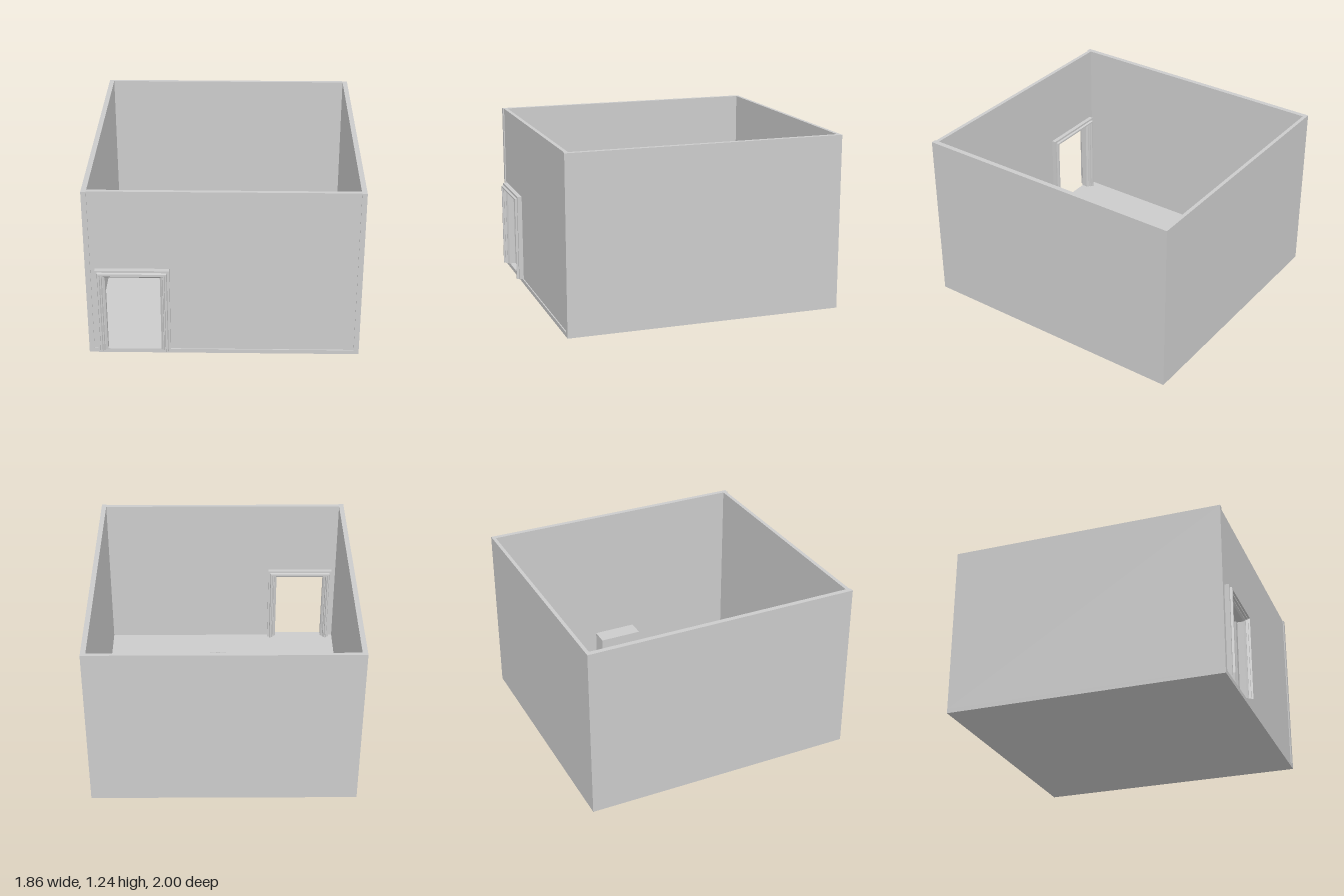
import * as THREE from 'three';
import { RoundedBoxGeometry } from 'three/addons/geometries/RoundedBoxGeometry.js';

const grey = new THREE.MeshStandardMaterial({ color: 0xcccccc });
const greyFlat = new THREE.MeshStandardMaterial({ color: 0xcccccc, flatShading: true });
const brown = new THREE.MeshStandardMaterial({ color: 0x5a3210, flatShading: true });
const darkBrown = new THREE.MeshStandardMaterial({ color: 0x2e1a08, flatShading: true });
const yellow = new THREE.MeshStandardMaterial({ color: 0xe6d98a, flatShading: true });

const FLOOR = 0.03, TOP = 1.24;
const DOOR = { left: -0.8, right: -0.43, top: 0.6, z: 0.94 };

function add(parent, name, geometry, material, x = 0, y = 0, z = 0) {
  const mesh = new THREE.Mesh(geometry, material);
  mesh.name = name;
  mesh.position.set(x, y, z);
  parent.add(mesh);
  return mesh;
}

// Box given by its two extreme corners
function span(parent, name, x0, x1, y0, y1, z0, z1, material = grey) {
  return add(parent, name, new THREE.BoxGeometry(x1 - x0, y1 - y0, z1 - z0), material,
    (x0 + x1) / 2, (y0 + y1) / 2, (z0 + z1) / 2);
}

// Square frustum with flat sides facing the axes
function frustum(parent, name, topSize, bottomSize, y0, y1, material) {
  const g = new THREE.CylinderGeometry(topSize / Math.SQRT2, bottomSize / Math.SQRT2, y1 - y0, 4);
  g.rotateY(Math.PI / 4);
  return add(parent, name, g, material, 0, (y0 + y1) / 2, 0);
}

// Front wall with the doorway cut out
function frontWallGeometry() {
  const m = 0.03;
  const s = new THREE.Shape([
    [-0.895, FLOOR], [DOOR.left - m, FLOOR], [DOOR.left - m, DOOR.top + m],
    [DOOR.right + m, DOOR.top + m], [DOOR.right + m, FLOOR],
    [0.895, FLOOR], [0.895, TOP], [-0.895, TOP],
  ].map(([x, y]) => new THREE.Vector2(x, y)));
  return new THREE.ExtrudeGeometry(s, { depth: 0.027, bevelEnabled: false });
}

// Moulding profile (margin outward, depth) swept with mitred corners around the doorway
function doorFrameGeometry() {
  const half = [[0, 0.022], [0.013, 0.034], [0.018, 0.034], [0.022, 0.048], [0.03, 0.048],
    [0.034, 0.06], [0.046, 0.06], [0.05, 0.045], [0.065, 0.045]];
  const profile = [...half, ...half.map(([m, z]) => [m, -z]).reverse()];
  const rings = profile.map(([m, z]) => [
    [DOOR.left - m, FLOOR, DOOR.z + z], [DOOR.left - m, DOOR.top + m, DOOR.z + z],
    [DOOR.right + m, DOOR.top + m, DOOR.z + z], [DOOR.right + m, FLOOR, DOOR.z + z],
  ]);
  const pos = [];
  rings.forEach((ring, i) => {
    const next = rings[(i + 1) % rings.length];
    for (let j = 0; j < 3; j++) {
      pos.push(...ring[j], ...ring[j + 1], ...next[j + 1], ...ring[j], ...next[j + 1], ...next[j]);
    }
  });
  const g = new THREE.BufferGeometry();
  g.setAttribute('position', new THREE.Float32BufferAttribute(pos, 3));
  g.computeVertexNormals();
  return g;
}

// Soft square cushion: a sphere pushed towards a rounded square, with gentle lumps
function cushionGeometry() {
  const g = new THREE.SphereGeometry(1, 40, 24);
  const p = g.attributes.position;
  const soft = (v, e) => Math.sign(v) * Math.abs(v) ** e;
  for (let i = 0; i < p.count; i++) {
    const x = p.getX(i), y = p.getY(i), z = p.getZ(i);
    const r = Math.hypot(x, z) || 1e-6;
    const spread = Math.min(1, r) ** 0.5;
    const cx = soft(x / r, 0.4) * spread, cz = soft(z / r, 0.4) * spread;
    const lump = 1 + 0.02 * Math.sin(cx * 7 + 1) * Math.cos(cz * 6);
    p.setXYZ(i, cx * 0.092 * lump, soft(y, 0.8) * 0.03 * lump, cz * 0.092 * lump);
  }
  g.computeVertexNormals();
  return g;
}

function buildRoom() {
  const room = new THREE.Group();
  room.name = 'room';
  span(room, 'floor', -0.93, 0.93, 0, FLOOR, -1, 0.96);
  for (const [name, s] of [['leftWall', 1], ['rightWall', -1]]) {
    add(room, name, new THREE.BoxGeometry(0.035, TOP - FLOOR, 1.96), grey,
      s * 0.9125, (TOP + FLOOR) / 2, -0.02);
  }
  span(room, 'backWall', -0.895, 0.895, FLOOR, TOP, -1, -0.975);
  add(room, 'frontWall', frontWallGeometry(), grey, 0, 0, 0.925);
  add(room, 'doorFrame', doorFrameGeometry(), grey);
  return room;
}

function buildTable() {
  const table = new THREE.Group();
  table.name = 'lowTable';
  table.position.set(0.035, FLOOR, 0.29);
  add(table, 'tableTop', new RoundedBoxGeometry(0.33, 0.018, 0.2, 2, 0.006), grey, 0, 0.111, 0);
  for (const sx of [-1, 1]) for (const sz of [-1, 1]) {
    add(table, 'tableLeg', new THREE.BoxGeometry(0.02, 0.104, 0.02), grey, sx * 0.145, 0.052, sz * 0.08);
  }
  return table;
}

function buildCabinet() {
  const cabinet = new THREE.Group();
  cabinet.name = 'cabinet';
  span(cabinet, 'cabinetBody', 0.765, 0.893, FLOOR, 0.23, -0.205, 0.115);
  span(cabinet, 'cabinetHandle', 0.756, 0.765, 0.14, 0.155, -0.045, 0.04);
  return cabinet;
}

// Square floor lamp: spreading foot, dark collar and glowing block
function buildLamp() {
  const lamp = new THREE.Group();
  lamp.name = 'lamp';
  lamp.position.set(0.755, FLOOR, -0.81);
  frustum(lamp, 'lampBase', 0.175, 0.175, 0, 0.02, brown);
  frustum(lamp, 'lampBody', 0.09, 0.175, 0.02, 0.26, brown);
  frustum(lamp, 'lampCollar', 0.08, 0.09, 0.26, 0.28, darkBrown);
  frustum(lamp, 'lampLight', 0.055, 0.06, 0.28, 0.32, yellow);
  return lamp;
}

// Open book lying on the floor, its halves tilted to a central fold
function buildBook(x, z, angle) {
  const book = new THREE.Group();
  book.name = 'openBook';
  book.position.set(x, FLOOR, z);
  book.rotation.y = angle;
  for (const s of [-1, 1]) {
    add(book, 'bookHalf', new THREE.BoxGeometry(0.042, 0.006, 0.07), greyFlat, s * 0.021, 0.006, 0)
      .rotation.z = s * 0.08;
  }
  return book;
}

export function createModel() {
  const model = new THREE.Group();
  model.name = 'furnishedRoom';
  model.add(buildRoom(), buildTable(), buildCabinet(), buildLamp());

  // Cushions around the table
  const cushion = cushionGeometry();
  [[0.04, 0.065], [0.04, 0.53], [-0.265, 0.29], [0.325, 0.295]].forEach(([x, z], i) => {
    add(model, 'cushion', cushion, grey, x, FLOOR + 0.03, z).rotation.y = i * Math.PI / 2;
  });

  // Books and a thin upright card near the cabinet
  model.add(buildBook(0.65, -0.11, -0.93), buildBook(0.575, 0.08, 0.8));
  add(model, 'card', new THREE.BoxGeometry(0.055, 0.05, 0.002), grey, 0.575, FLOOR + 0.025, -0.26)
    .rotation.y = -0.85;
  return model;
}
